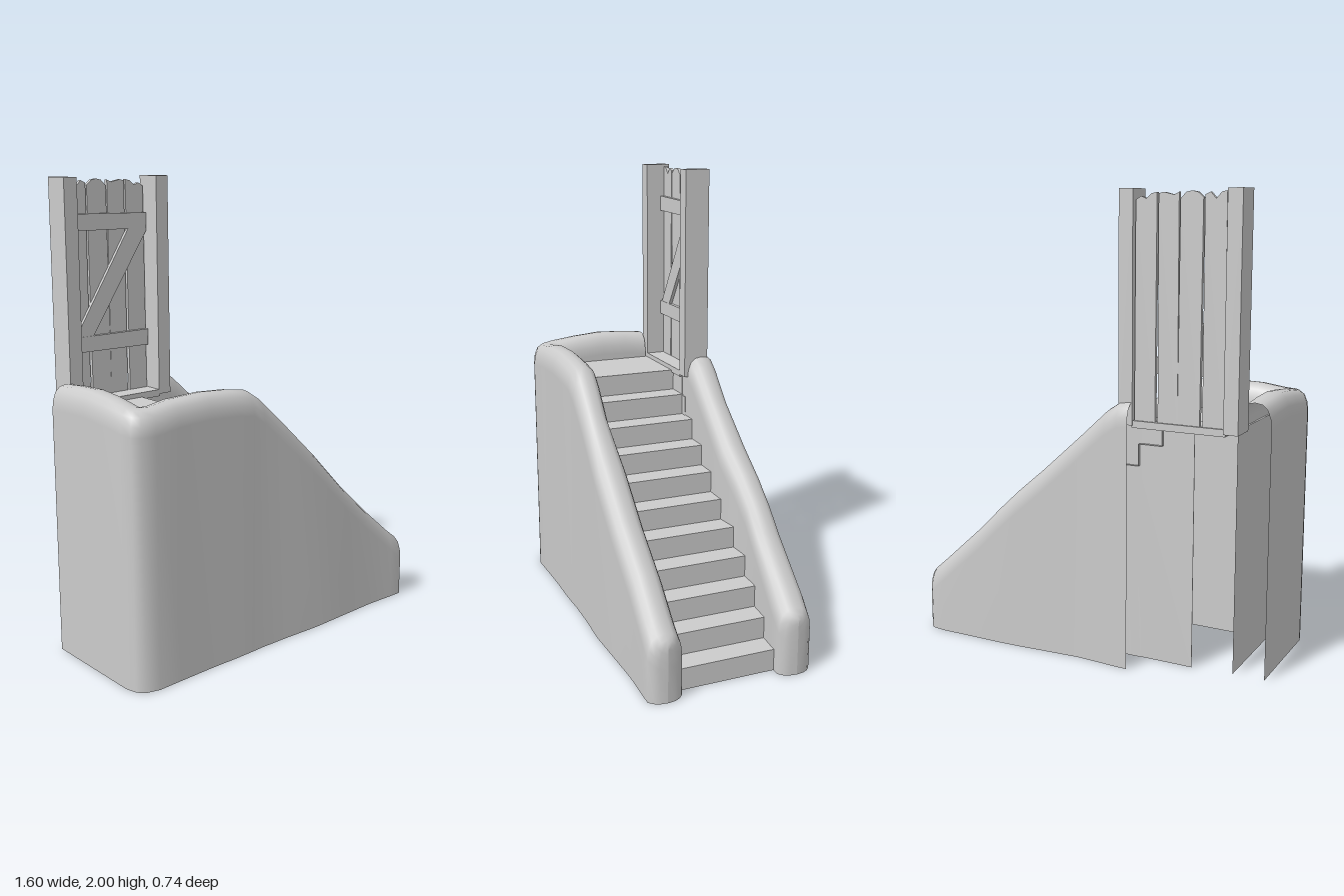
import * as THREE from 'three';

const material = new THREE.MeshStandardMaterial({ color: 0xcccccc, side: THREE.DoubleSide });

function addMesh(parent, name, geometry) {
  const mesh = new THREE.Mesh(geometry, material);
  mesh.name = name;
  parent.add(mesh);
  return mesh;
}

function addBox(parent, name, [x0, x1], [y0, y1], [z0, z1]) {
  const mesh = addMesh(parent, name, new THREE.BoxGeometry(x1 - x0, y1 - y0, z1 - z0));
  mesh.position.set((x0 + x1) / 2, (y0 + y1) / 2, (z0 + z1) / 2);
  return mesh;
}

// Flat outline in x and y, given thickness along z
function addPanel(parent, name, points, z0, z1) {
  const shape = new THREE.Shape(points.map(([x, y]) => new THREE.Vector2(x, y)));
  const geometry = new THREE.ExtrudeGeometry(shape, { depth: z1 - z0, bevelEnabled: false });
  geometry.translate(0, 0, z0);
  return addMesh(parent, name, geometry);
}

// Round-topped hollow wall. Stations: outer x, outer z, inner x, inner z, top y.
const SECTION = [[0, 0.1], [0.03, 0.06], [0.12, 0.025], [0.28, 0.005], [0.5, 0],
  [0.72, 0.005], [0.88, 0.025], [0.97, 0.06], [1, 0.1]];

function wallGeometry(stations) {
  const positions = [], index = [];
  const ringSize = SECTION.length + 2;
  stations.forEach(([ox, oz, ix, iz, top], i) => {
    const ring = [[0, top], ...SECTION, [1, top]];
    ring.forEach(([u, drop], j) => {
      positions.push(ox + (ix - ox) * u, top - drop, oz + (iz - oz) * u);
      if (i && j) {
        const b = i * ringSize + j, a = b - ringSize;
        index.push(a - 1, b - 1, a, a, b - 1, b);
      }
    });
  });
  const geometry = new THREE.BufferGeometry();
  geometry.setAttribute('position', new THREE.Float32BufferAttribute(positions, 3));
  geometry.setIndex(index);
  geometry.computeVertexNormals();
  return geometry;
}

// Sloping run down to a rounded nose: x, outer z, inner z, top y
function slopeStations(rows, side) {
  const nose = [[0.765, 0.364, 0.216, 0.285], [0.785, 0.345, 0.235, 0.265],
    [0.796, 0.322, 0.258, 0.25], [0.8, 0.29, 0.29, 0.235]];
  return [...rows, ...nose].map(([x, o, i, y]) => [x, o * side, x, i * side, y]);
}

export function createModel() {
  const model = new THREE.Group();
  model.name = 'staircaseWithGate';

  // End wall, rounded corner and front wall as one run
  addMesh(model, 'frontAndEndWall', wallGeometry([
    [-0.8, -0.205, -0.66, -0.205, 1.165],
    [-0.8, -0.1, -0.66, -0.1, 1.175],
    [-0.8, 0.02, -0.66, 0.02, 1.18],
    [-0.8, 0.14, -0.66, 0.14, 1.17],
    [-0.8, 0.27, -0.66, 0.22, 1.155],
    [-0.787, 0.32, -0.66, 0.22, 1.15],
    [-0.76, 0.35, -0.66, 0.22, 1.15],
    [-0.7, 0.366, -0.66, 0.22, 1.15],
    ...slopeStations([
      [-0.58, 0.363, 0.22, 1.165], [-0.42, 0.36, 0.22, 1.17], [-0.28, 0.362, 0.22, 1.16],
      [-0.19, 0.36, 0.22, 1.145], [-0.13, 0.358, 0.225, 1.105], [0, 0.36, 0.235, 0.985],
      [0.19, 0.368, 0.222, 0.805], [0.38, 0.362, 0.218, 0.615], [0.56, 0.357, 0.212, 0.455],
      [0.7, 0.362, 0.216, 0.335],
    ], 1),
  ]));

  // Shorter back wall beside the gate
  addMesh(model, 'backWall', wallGeometry(slopeStations([
    [-0.24, 0.365, 0.225, 1.15], [-0.19, 0.364, 0.225, 1.145], [-0.13, 0.36, 0.225, 1.105],
    [0, 0.352, 0.225, 0.985], [0.18, 0.362, 0.222, 0.82], [0.3, 0.37, 0.236, 0.715],
    [0.4, 0.373, 0.242, 0.62], [0.5, 0.372, 0.236, 0.52], [0.7, 0.372, 0.219, 0.34],
  ], -1)));

  // Inner panel carried on under the landing
  addPanel(model, 'innerBackPanel',
    [[-0.48, 0], [-0.2, 0], [-0.2, 0.95], [-0.235, 0.95], [-0.235, 1.05], [-0.48, 1.05]],
    -0.222, -0.22);

  // Treads, risers and landing in one folded sheet
  const steps = 11, rise = 1.05 / steps, run = 0.107;
  const profile = [[-0.67, 1.05]];
  for (let i = 0; i < steps; i++) {
    const x = -0.34 + run * i;
    profile.push([x, 1.05 - rise * i], [x, 1.05 - rise * (i + 1)]);
  }
  const sheet = [];
  for (let i = 1; i < profile.length; i++) {
    const [x0, y0] = profile[i - 1], [x1, y1] = profile[i];
    const a = [x0, y0, -0.24], b = [x0, y0, 0.225], c = [x1, y1, 0.225], d = [x1, y1, -0.24];
    sheet.push(...a, ...b, ...c, ...a, ...c, ...d);
  }
  const stairs = new THREE.BufferGeometry();
  stairs.setAttribute('position', new THREE.Float32BufferAttribute(sheet, 3));
  stairs.computeVertexNormals();
  addMesh(model, 'stairs', stairs);

  // Gate frame
  const gate = new THREE.Group();
  gate.name = 'gate';
  model.add(gate);
  addBox(gate, 'rightPost', [-0.705, -0.643], [1.05, 2], [-0.325, -0.21]);
  addBox(gate, 'leftPost', [-0.245, -0.183], [1.05, 2], [-0.325, -0.21]);
  addBox(gate, 'sill', [-0.65, -0.24], [1.04, 1.07], [-0.32, -0.21]);

  // Worn planks: left x, right x, heights along the top edge
  const planks = [
    [-0.637, -0.546, [1.99, 1.985, 1.96, 1.985, 1.975]],
    [-0.54, -0.444, [1.965, 1.985, 1.99, 1.985, 1.96]],
    [-0.438, -0.351, [1.985, 1.975, 1.98, 1.985, 1.98]],
    [-0.344, -0.252, [1.985, 1.98, 1.96, 1.97, 1.955]],
  ];
  planks.forEach(([x0, x1, tops], n) => {
    const top = tops.map((y, i) => [x0 + (x1 - x0) * i / (tops.length - 1), y]).reverse();
    const lean = n % 2 ? 0.003 : -0.003;
    addPanel(gate, 'plank', [[x0 + lean, 1.06], [x1 + lean, 1.06], ...top], -0.312, -0.296);
  });

  // Cross battens and diagonal brace
  addPanel(gate, 'upperBatten',
    [[-0.638, 1.78], [-0.25, 1.777], [-0.25, 1.843], [-0.638, 1.85]], -0.296, -0.279);
  addPanel(gate, 'lowerBatten',
    [[-0.638, 1.27], [-0.25, 1.265], [-0.25, 1.335], [-0.638, 1.335]], -0.296, -0.279);
  addPanel(gate, 'brace',
    [[-0.625, 1.335], [-0.535, 1.335], [-0.25, 1.765], [-0.25, 1.778], [-0.345, 1.778]],
    -0.296, -0.281);

  return model;
}
